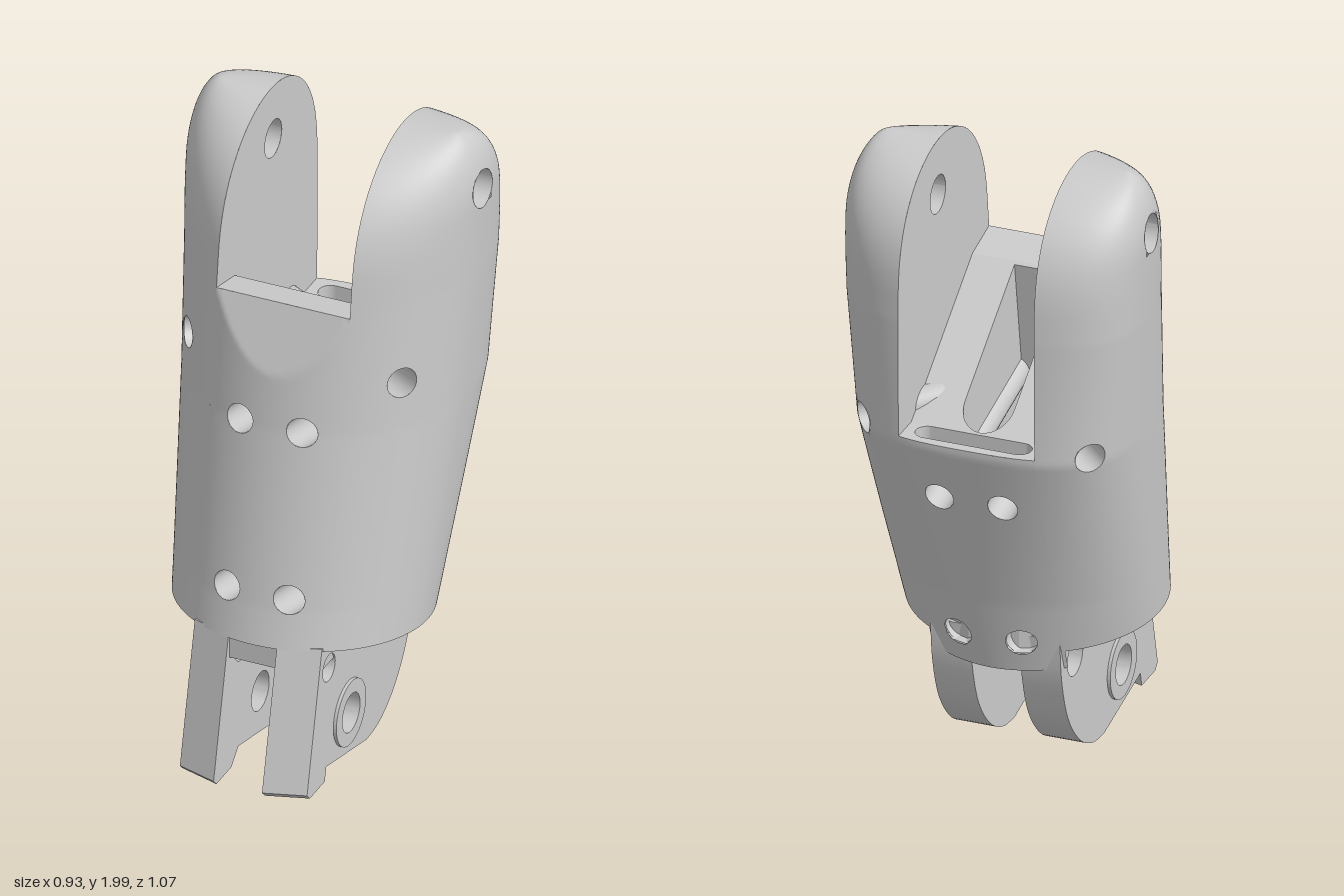
import * as THREE from 'three';
import { toCreasedNormals } from 'three/addons/utils/BufferGeometryUtils.js';

const HS = 0.215;      // half width of the fork slot
const GAP = 0.078;     // half width of the inner channel
const FOLD = -0.388, LEDGE = 0.09; // ends of the sloping slot floor
const DOME_Y = 1.62, DOME_Z = -0.16;
const mat = new THREE.MeshStandardMaterial({ color: 0xcccccc, side: THREE.DoubleSide });

// body section by height: half width, front z, back z, widest z, back roundness
const KEYS = [
  [0.45, 0.392, 0.445, -0.31, 0.07, 2],
  [1.15, 0.437, 0.32, -0.505, -0.11, 3],
  [1.55, 0.458, 0.27, -0.505, -0.18, 3],
  [2.0, 0.473, 0.205, -0.49, -0.2, 3],
];
function section(y) {
  let i = 0;
  while (i < KEYS.length - 2 && y > KEYS[i + 1][0]) i++;
  const a = KEYS[i], b = KEYS[i + 1], t = (y - a[0]) / (b[0] - a[0]);
  const [, rx, zf, zb, zm, n] = a.map((v, k) => v + (b[k] - v) * t);
  return { rx, zf, zb, zm, n };
}
function frontZ(x, y) {
  const s = section(y);
  const z = s.zm + (s.zf - s.zm) * Math.sqrt(Math.max(0, 1 - (x / s.rx) ** 2));
  return Math.abs(x) <= HS ? Math.min(z, 0.22 + (1.53 - y) * 0.38) : z; // flat below the slot
}
function backZ(x, y) {
  const s = section(y);
  return s.zm - (s.zm - s.zb) * Math.max(0, 1 - (Math.abs(x) / s.rx) ** s.n) ** (1 / s.n);
}
// shrink factors that round off the fork arms
const domeZ = (y) => Math.sqrt(Math.max(0, 1 - Math.max(0, (y - DOME_Y) / (2 - DOME_Y)) ** 2.5));
const domeX = (y) => 1 - 0.4 * (1 - Math.sqrt(Math.max(0, 1 - Math.max(0, (y - 1.78) / 0.22) ** 2)));
const rimY = (y, z) => y + 0.075 * z * Math.max(0, 1 - (y - 0.45) / 0.15);
const floorY = (z) => (z > LEDGE ? 1.5 + (z - LEDGE) * 0.231 : 1.17 + 0.33 * Math.max(0, (z - FOLD) / (LEDGE - FOLD)));

// a point on a fork arm's outer skin, u from front slot edge to back slot edge
function armPoint(u, y) {
  const s = section(y);
  const a0 = Math.asin(HS / s.rx), a1 = Math.PI - Math.asin((HS / s.rx) ** (s.n / 2));
  const a = a0 + (a1 - a0) * u, sn = Math.sin(a), c = Math.cos(a);
  const x = s.rx * (c >= 0 ? sn : sn ** (2 / s.n));
  const z = c >= 0 ? s.zm + (s.zf - s.zm) * c : s.zm - (s.zm - s.zb) * (-c) ** (2 / s.n);
  return [HS + (x - HS) * domeX(y), rimY(y, z), DOME_Z + (z - DOME_Z) * domeZ(y)];
}

// round holes along lines: bolts front to back, two crossing bolts, fork pin
const vec = (x, y, z) => new THREE.Vector3(x, y, z);
const PIN = { o: vec(0, 1.82, -0.18), d: vec(1, 0, 0), r: 0.06 };
const bolts = [];
for (const s of [-1, 1]) {
  for (const y of [1.085, 0.54]) bolts.push({ o: vec(s * 0.1, y, 0), d: vec(0, 0.24, 1).normalize(), r: 0.046 });
  bolts.push({ o: vec(0, 1.235, -0.13), d: vec(s * 0.35, 0.065, 0.27).normalize(), r: 0.048 });
}

// move p onto a hole edge if close; returns true when p is inside a hole
function snapToHoles(p) {
  for (const h of [...bolts, PIN]) {
    const q = p.clone().sub(h.o);
    const along = h.d.clone().multiplyScalar(q.dot(h.d));
    q.sub(along);
    const d = q.length();
    if (d < h.r - 0.012) return true;
    if (d < h.r + 0.012) p.copy(h.o).add(along).addScaledVector(q, h.r / d);
  }
  return false;
}

// grid surface from f(u, v), optionally pierced by the holes
function grid(f, nu, nv, pierce = false) {
  const pos = [], index = [];
  for (let j = 0; j <= nv; j++) for (let i = 0; i <= nu; i++) pos.push(...f(i / nu, j / nv));
  for (let j = 0; j < nv; j++) for (let i = 0; i < nu; i++) {
    const a = j * (nu + 1) + i, b = a + nu + 1;
    index.push(a, a + 1, b, a + 1, b + 1, b);
  }
  const g = new THREE.BufferGeometry();
  g.setAttribute('position', new THREE.Float32BufferAttribute(pos, 3));
  g.setIndex(index);
  g.computeVertexNormals();
  if (!pierce) return g;
  const P = g.attributes.position, p = vec(0, 0, 0), inside = [], onEdge = [];
  for (let i = 0; i < P.count; i++) {
    p.fromBufferAttribute(P, i);
    const old = p.clone();
    inside.push(snapToHoles(p));
    onEdge.push(!p.equals(old));
    P.setXYZ(i, p.x, p.y, p.z);
  }
  const kept = [];
  for (let i = 0; i < index.length; i += 3) {
    const t = index.slice(i, i + 3);
    if (t.some((k) => inside[k]) || t.every((k) => onEdge[k])) continue;
    kept.push(...t);
  }
  g.setIndex(kept);
  return g;
}

// bore wall of a bolt hole, from the middle (or the channel) out to the skin
function bore(h, end) {
  const dir = h.d.clone().multiplyScalar(end);
  const e1 = vec(0, 1, 0).cross(dir).normalize(), e2 = dir.clone().cross(e1);
  return grid((u, v) => {
    const a = u * Math.PI * 2;
    const p = h.o.clone().addScaledVector(e1, h.r * Math.cos(a)).addScaledVector(e2, h.r * Math.sin(a));
    let t = h.d.x === 0 ? 0 : (Math.sign(dir.x) * GAP - p.x) / dir.x;
    if (v > 0.5) {
      let hi = 1;
      for (let k = 0; k < 24; k++) {
        const m = (t + hi) / 2, q = p.clone().addScaledVector(dir, m);
        if (Math.abs(q.x) < section(q.y).rx && q.z < frontZ(q.x, q.y) && q.z > backZ(q.x, q.y)) t = m;
        else hi = m;
      }
    }
    return p.addScaledVector(dir, t).toArray();
  }, 24, 1);
}

// flat shape drawn in x and z, laid at height yOf(z)
function sheet(shape, yOf) {
  const g = new THREE.ShapeGeometry(shape, 16), P = g.attributes.position;
  for (let i = 0; i < P.count; i++) { const z = P.getY(i); P.setXYZ(i, P.getX(i), yOf(z), z); }
  g.computeVertexNormals();
  return g;
}
const V = (x, y) => new THREE.Vector2(x, y);
const circle = (x, y, r) => new THREE.Path().absarc(x, y, r, 0, Math.PI * 2, true);
// channel outline: round at the back, square at the front
function channel(shift) {
  const pts = [V(GAP, 0.08 + shift)];
  for (let i = 0; i <= 16; i++) {
    const a = (Math.PI * i) / 16;
    pts.push(V(GAP * Math.cos(a), -0.306 + shift - GAP * Math.sin(a)));
  }
  pts.push(V(-GAP, 0.08 + shift));
  return pts;
}

export function createModel() {
  const root = new THREE.Group();
  root.name = 'forkedLink';
  const add = (name, g, mirror = 1) => {
    const m = new THREE.Mesh(g, mat);
    m.name = name;
    m.scale.x = mirror;
    root.add(m);
  };

  // body skin under the slot; the back reaches down behind the tabs
  const skin = (zOf, y0, y1, nv) => grid((u, v) => {
    const x = HS * (2 * u - 1), y = y0 + (y1 - y0) * v, z = zOf(x, y);
    return [x, rimY(y, z), z];
  }, 32, nv, true);
  add('bodyFront', skin(frontZ, 0.45, 1.53, 80));
  add('bodyBack', skin(backZ, 0.39, 1.17, 58));

  // body sides running up into the rounded fork arms
  const armY = (v) => (v < 0.75 ? 0.45 + (v / 0.75) * 1.17 : DOME_Y + 0.38 * Math.sin(((v - 0.75) / 0.25) * Math.PI / 2));
  const armSkin = grid((u, v) => armPoint(u, armY(v)), 80, 112, true);
  // inner arm faces with the pin hole
  const outline = [V(0.22, 1.53), V(LEDGE, 1.5), V(FOLD, 1.17)];
  for (let i = 0; i <= 20; i++) { const y = 1.17 + 0.45 * i / 20; outline.push(V(armPoint(1, y)[2], y)); }
  for (let i = 1; i <= 40; i++) {
    const a = (Math.PI * i) / 40, y = DOME_Y + 0.38 * Math.sin(a);
    outline.push(V(armPoint(i <= 20 ? 1 : 0, y)[2], y));
  }
  const face = new THREE.Shape(outline);
  face.holes.push(circle(PIN.o.z, PIN.o.y, PIN.r));
  const armFace = new THREE.ShapeGeometry(face, 24).rotateY(-Math.PI / 2).translate(HS, 0, 0);
  // pin bore
  const pinBore = grid((u, v) => {
    const a = u * Math.PI * 2, y = PIN.o.y + PIN.r * Math.sin(a), z = PIN.o.z + PIN.r * Math.cos(a);
    const s = section(y), zz = DOME_Z + (z - DOME_Z) / domeZ(y) - s.zm;
    const x = zz > 0 ? s.rx * Math.sqrt(1 - (zz / (s.zf - s.zm)) ** 2)
      : s.rx * (1 - (-zz / (s.zm - s.zb)) ** s.n) ** (1 / s.n);
    return [HS + (x - HS) * domeX(y) * v, y, z];
  }, 32, 1);
  for (const s of [1, -1]) {
    const side = s > 0 ? 'left' : 'right';
    add(side + 'Arm', armSkin, s);
    add(side + 'ArmInnerFace', armFace, s);
    add(side + 'PinBore', pinBore, s);
  }
  for (const h of bolts) {
    add('boltBoreFront', bore(h, 1));
    add('boltBoreBack', bore(h, -1));
  }

  // slot floor: front ledge, ramp around the channel, rear shelf with pocket
  const rect = (z0, z1) => new THREE.Shape([V(-HS, z0), V(HS, z0), V(HS, z1), V(-HS, z1)]);
  add('slotLedge', sheet(rect(LEDGE, 0.22), floorY));
  const ramp = rect(FOLD, LEDGE);
  ramp.holes.push(new THREE.Path(channel(0)));
  add('slotRamp', sheet(ramp, floorY));
  const shelfPts = [V(HS, FOLD), V(-HS, FOLD)];
  for (let i = 0; i <= 16; i++) { const x = HS * (i / 8 - 1); shelfPts.push(V(x, backZ(x, 1.17))); }
  const shelf = new THREE.Shape(shelfPts), pocket = [];
  for (let i = 0; i < 32; i++) {
    const a = (i / 31) * Math.PI * 2 - Math.PI / 2, e = i < 16 ? 1 : -1;
    pocket.push(V(e * 0.145 + 0.038 * Math.cos(a), -0.432 + 0.038 * Math.sin(a)));
  }
  shelf.holes.push(new THREE.Path(pocket));
  add('slotShelf', sheet(shelf, () => 1.17));
  add('pocketFloor', sheet(new THREE.Shape(pocket), () => 1.11));
  const ring = [...pocket, pocket[0]];
  add('pocketWall', grid((u, v) => { const p = ring[Math.round(u * 32)]; return [p.x, 1.17 - 0.06 * v, p.y]; }, 32, 1));

  // leaning channel through the body
  const ch = channel(0);
  ch.push(ch[0]);
  const n = ch.length - 1;
  add('channelWall', toCreasedNormals(grid((u, v) => {
    const p = ch[Math.round(u * n)];
    return v < 0.5 ? [p.x, 0.41, p.y + 0.17] : [p.x, floorY(p.y), p.y];
  }, n, 1), 0.6));

  // underside of the body and the bridge over the tabs
  const rim = [];
  for (let i = 0; i < 96; i++) {
    const a = (i / 96) * Math.PI * 2, c = Math.cos(a);
    rim.push(V(0.392 * Math.sin(a), 0.07 + c * (c > 0 ? 0.375 : 0.38)));
  }
  const under = new THREE.Shape(rim);
  under.holes.push(new THREE.Path(channel(0.17)));
  add('bodyUnderside', sheet(under, (z) => 0.45 + 0.075 * z));
  const bridge = new THREE.Shape([V(-0.2, -0.23), V(-0.08, -0.275), V(0.08, -0.275), V(0.2, -0.23),
    V(0.2, 0.38), V(0.08, 0.428), V(-0.08, 0.428), V(-0.2, 0.38)]);
  bridge.holes.push(new THREE.Path(channel(0.17)));
  const bg = new THREE.ExtrudeGeometry(bridge, { depth: 0.09, bevelEnabled: false });
  add('tabBridge', bg.rotateX(Math.PI / 2).translate(0, 0.5, 0));

  // lower tabs with pin and screw holes
  const back = new THREE.SplineCurve([V(0.08, 0.006), V(-0.01, 0.018), V(-0.11, 0.075), V(-0.2, 0.185), V(-0.25, 0.33), V(-0.265, 0.47)]);
  const tab = new THREE.Shape([V(0.435, 0.49), V(0.54, 0.045), V(0.52, 0.025), V(0.415, 0.025), V(0.365, 0.07), ...back.getPoints(30)]);
  tab.holes.push(circle(0.21, 0.173, 0.062), circle(0.345, 0.4, 0.044), circle(-0.145, 0.365, 0.06));
  let tg = new THREE.ExtrudeGeometry(tab, { depth: 0.127, bevelEnabled: false, curveSegments: 24 });
  const P = tg.attributes.position;
  for (let i = 0; i < P.count; i++) {
    const z = P.getX(i), y = P.getY(i), d = P.getZ(i);
    // the outer front edge follows the round of the body
    P.setXYZ(i, GAP + d, y, d > 0.1 && z > 0.395 ? z - 0.04 : z);
  }
  tg = toCreasedNormals(tg, 0.5);
  const washer = new THREE.Shape().absarc(0.21, 0.173, 0.105, 0, Math.PI * 2);
  washer.holes.push(circle(0.21, 0.173, 0.062));
  const wg = new THREE.ExtrudeGeometry(washer, { depth: 0.015, bevelEnabled: false, curveSegments: 24 });
  wg.rotateY(-Math.PI / 2).translate(GAP + 0.137, 0, 0);
  for (const s of [1, -1]) {
    const side = s > 0 ? 'left' : 'right';
    add(side + 'Tab', tg, s);
    add(side + 'TabRing', wg, s);
  }

  root.rotation.y = -0.205;
  root.position.set(-0.038, 0, -0.009);
  const model = new THREE.Group();
  model.name = 'model';
  model.add(root);
  return model;
}
